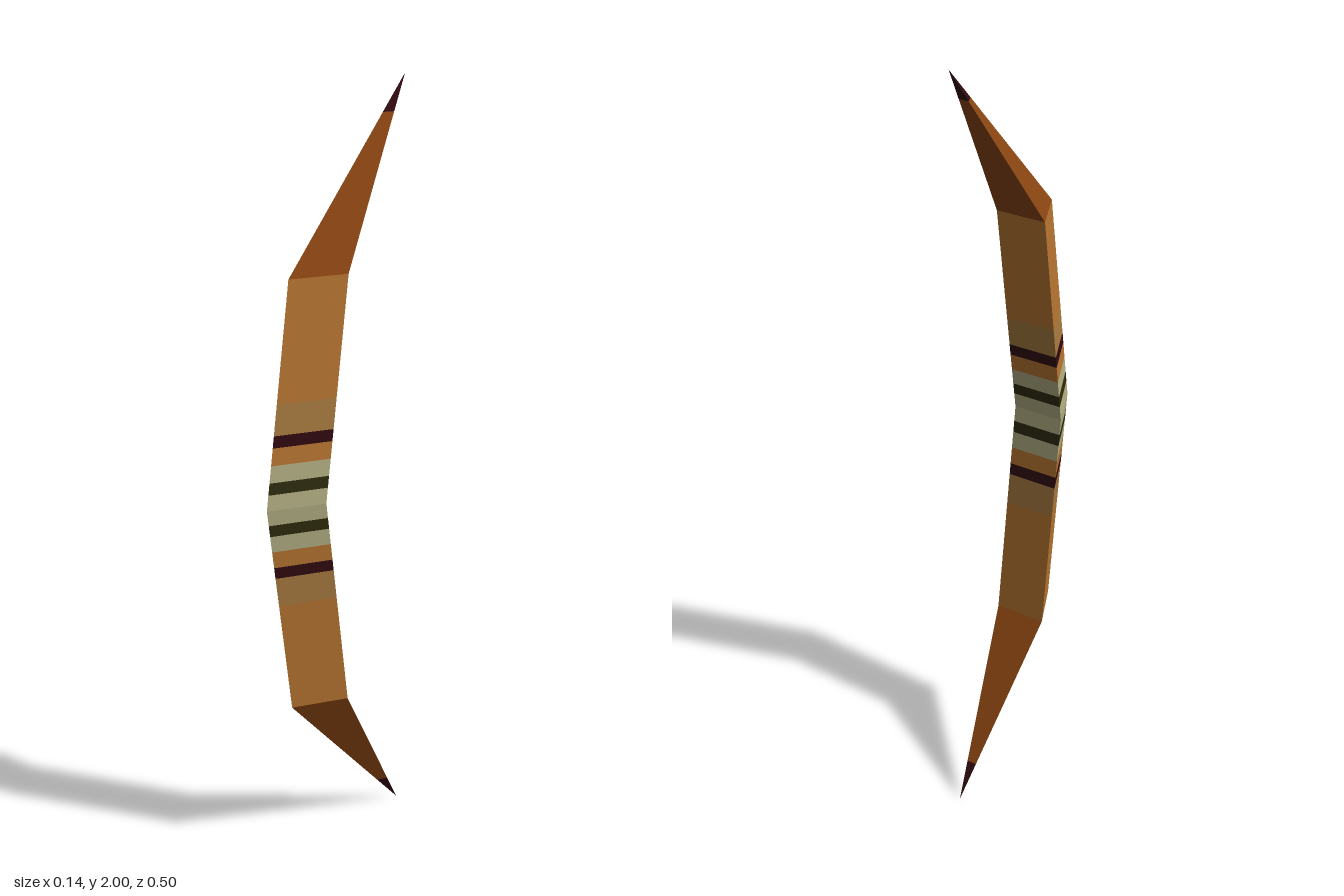
import * as THREE from 'three';

const mat = (name, color) => new THREE.MeshStandardMaterial({ name, color });

// Cross-section at height y: front ridge, right edge, left edge (triangle with a flat back)
function section(y) {
  const h = Math.abs(y - 1), lerp = THREE.MathUtils.lerp;
  const bend = 0.565;
  if (h <= bend) {
    const t = h / bend;
    const ridge = lerp(0.25, 0.167, t), back = lerp(0.112, 0.032, t);
    return [[0, y, ridge], [0.07, y, back], [-0.07, y, back]];
  }
  const t = (h - bend) / (1 - bend), w = 0.07 * (1 - t);
  const ridge = lerp(0.167, -0.25, t), back = lerp(0.032, -0.25, t);
  return [[0, y, ridge], [w, y, back], [-w, y, back]];
}

// Flat-sided prism between two heights
function segment(y0, y1) {
  const a = section(y0), b = section(y1), pos = [];
  for (let i = 0; i < 3; i++) {
    const j = (i + 1) % 3;
    if (y0 > 0) pos.push(...a[i], ...a[j], ...b[j]);
    if (y0 <= 0) pos.push(...a[i], ...b[j], ...b[i]);
    else if (y1 < 2) pos.push(...a[i], ...b[j], ...b[i]);
  }
  const g = new THREE.BufferGeometry();
  g.setAttribute('position', new THREE.Float32BufferAttribute(pos, 3));
  g.computeVertexNormals();
  return g;
}

export function createModel() {
  const group = new THREE.Group();
  group.name = 'bow';
  const beige = mat('grip beige', 0xb4b084);
  const olive = mat('dark olive', 0x2f2c0e);
  const orange = mat('orange wood', 0xb87631);
  const maroon = mat('dark maroon', 0x300a10);
  const tan = mat('tan wood', 0xaa7c40);
  const brown = mat('brown wood', 0x8a4512);

  const add = (name, y0, y1, material) => {
    const mesh = new THREE.Mesh(segment(y0, y1), material);
    mesh.name = name;
    group.add(mesh);
  };

  // Grip centre, split at the bend
  add('upperGrip', 1, 1.04, beige);
  add('lowerGrip', 0.96, 1, beige);

  // Bands and limbs outward from the grip, mirrored above and below
  const parts = [
    ['GripBand', 1.04, 1.07, olive],
    ['GripEnd', 1.07, 1.113, beige],
    ['WoodBand', 1.113, 1.157, orange],
    ['LimbBand', 1.157, 1.187, maroon],
    ['LimbRoot', 1.187, 1.265, tan],
    ['Limb', 1.265, 1.565, orange],
    ['LimbTip', 1.565, 1.915, brown],
    ['Point', 1.915, 2, maroon],
  ];
  for (const [name, y0, y1, m] of parts) {
    add('upper' + name, y0, y1, m);
    add('lower' + name, 2 - y1, 2 - y0, m);
  }
  return group;
}
